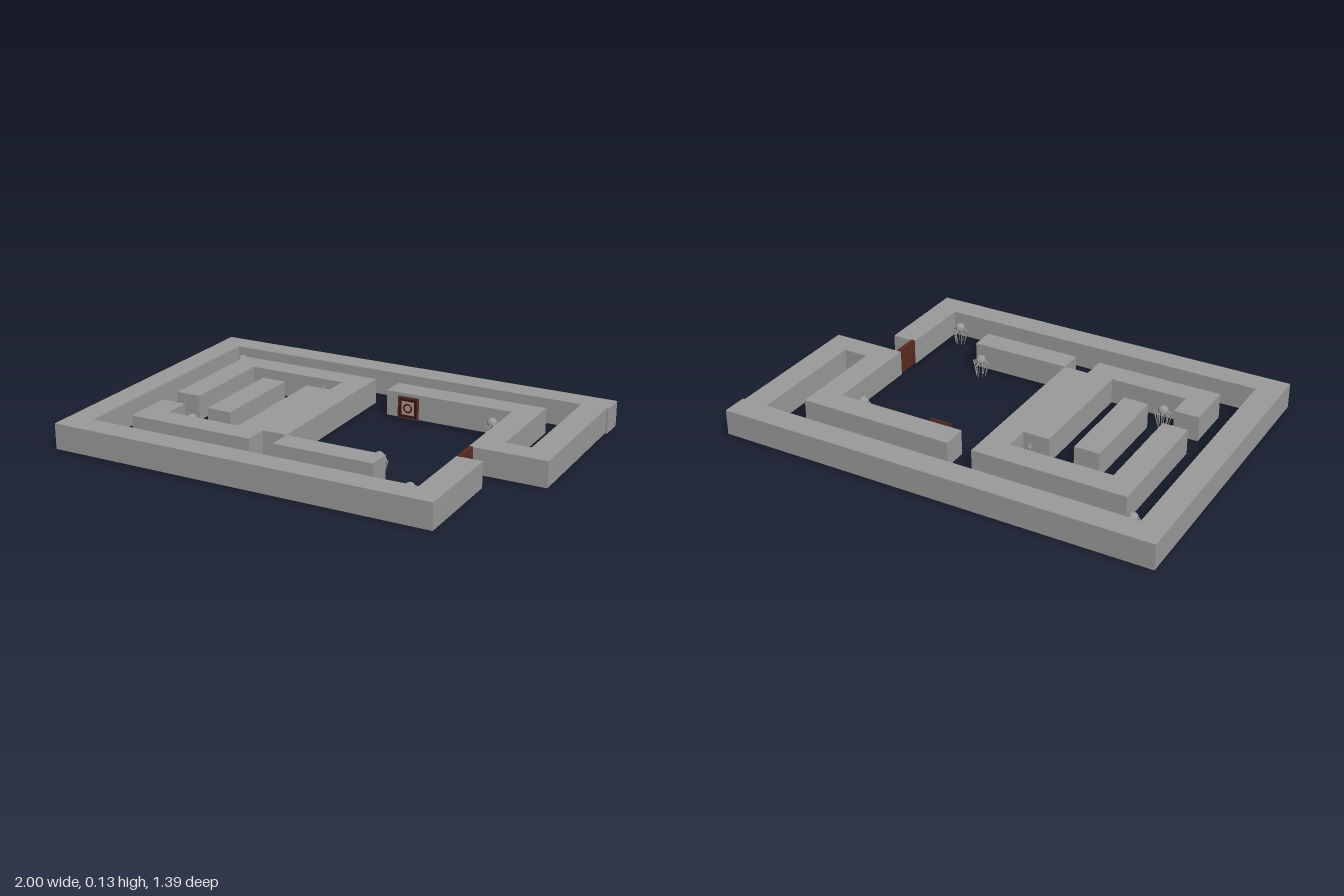
import * as THREE from 'three';

const mat = (name, color, side = THREE.FrontSide) => {
  const m = new THREE.MeshStandardMaterial({ color, side });
  m.name = name;
  return m;
};

export function createModel() {
  const root = new THREE.Group();
  root.name = 'maze';
  const stone = mat('stone grey', 0x999999);
  const wood = mat('dark red wood', 0x5a2a20);
  const canvas = mat('dusty pink canvas', 0xb98d80);
  const dark = mat('near black', 0x2a1814);

  const add = (parent, name, geo, material, x = 0, y = 0, z = 0) => {
    const m = new THREE.Mesh(geo, material);
    m.name = name;
    m.position.set(x, y, z);
    parent.add(m);
    return m;
  };

  // Walls: floor-plan outlines (x, z) extruded to wall height
  const bottom = 0.006, top = 0.122;
  const wall = (name, points) => {
    const shape = new THREE.Shape(points.map(([x, z]) => new THREE.Vector2(x, z)));
    const geo = new THREE.ExtrudeGeometry(shape, { depth: top - bottom, bevelEnabled: false });
    geo.rotateX(Math.PI / 2);
    add(root, name, geo, stone, 0, top, 0);
  };
  wall('outerWall', [
    [-1, -0.7], [1, -0.7], [1, -0.585], [0.99, -0.585], [0.99, 0.11], [0.645, 0.11],
    [0.645, -0.35], [0.045, -0.35], [0.045, -0.465], [0.76, -0.465], [0.76, 0], [0.875, 0],
    [0.875, -0.585], [-0.885, -0.585], [-0.885, 0.58], [0.645, 0.58], [0.645, 0.23],
    [0.76, 0.23], [0.76, 0.695], [-1, 0.695]]);
  wall('innerWall', [
    [-0.77, -0.465], [-0.07, -0.465], [-0.07, 0.35], [-0.185, 0.35], [-0.185, 0.46],
    [-0.77, 0.46], [-0.77, 0.23], [-0.655, 0.23], [-0.655, 0.35], [-0.305, 0.35],
    [-0.305, -0.235], [-0.185, -0.235], [-0.185, -0.35], [-0.655, -0.35],
    [-0.655, 0.115], [-0.77, 0.115]]);
  wall('islandWall', [[-0.535, -0.235], [-0.42, -0.235], [-0.42, 0.23], [-0.535, 0.23]]);
  wall('southWall', [[-0.07, 0.35], [0.39, 0.35], [0.39, 0.46], [-0.07, 0.46]]);

  // Door in the side gap, with a knob on the inside
  add(root, 'door', new THREE.BoxGeometry(0.018, 0.117, 0.118), wood, 0.657, 0.067, 0.172);
  add(root, 'doorKnob', new THREE.SphereGeometry(0.005, 10, 8), dark, 0.645, 0.062, 0.217);

  // Framed picture with a dark ring
  const picture = new THREE.Group();
  picture.name = 'picture';
  picture.position.set(0.165, 0.066, -0.32);
  root.add(picture);
  add(picture, 'pictureFrame', new THREE.BoxGeometry(0.1, 0.102, 0.008), wood);
  add(picture, 'pictureBorder', new THREE.BoxGeometry(0.084, 0.086, 0.002), dark, 0, 0, 0.0042);
  add(picture, 'pictureCanvas', new THREE.BoxGeometry(0.062, 0.064, 0.002), canvas, 0, 0, 0.005);
  add(picture, 'pictureRing', new THREE.RingGeometry(0.015, 0.022, 24), dark, 0, 0, 0.0064);

  // Long-legged spiders: round body, knees out, feet tucked in
  const bodyGeo = new THREE.SphereGeometry(0.023, 16, 10);
  const limb = (parent, name, a, b, ra, rb) => {
    const d = new THREE.Vector3().subVectors(b, a);
    const m = add(parent, name, new THREE.CylinderGeometry(rb, ra, d.length(), 6), stone);
    m.position.copy(a).add(b).multiplyScalar(0.5);
    m.quaternion.setFromUnitVectors(new THREE.Vector3(0, 1, 0), d.normalize());
  };
  const spots = [[-0.825, -0.525, 0], [0.58, -0.29, 0], [0.33, 0.29, 0], [-0.585, 0.28, 0.25], [0.58, 0.52, 0]];
  for (const [x, z, turn] of spots) {
    const spider = new THREE.Group();
    spider.name = 'spider';
    spider.position.set(x, 0, z);
    spider.rotation.y = turn;
    root.add(spider);
    add(spider, 'spiderBody', bodyGeo, stone, 0, 0.08, 0);
    for (let i = 0; i < 8; i++) {
      const a = (i * Math.PI) / 4;
      const at = (r, y) => new THREE.Vector3(r * Math.cos(a), y, r * Math.sin(a));
      const knee = at(i % 2 ? 0.03 : 0.039, 0.068);
      limb(spider, 'upperLeg', at(0.014, 0.075), knee, 0.005, 0.003);
      limb(spider, 'lowerLeg', knee, at(0.021, 0), 0.0035, 0.0015);
    }
  }

  // Small key hanging in the inner passage
  const key = new THREE.Group();
  key.name = 'key';
  key.position.set(-0.245, 0.085, -0.29);
  root.add(key);
  const bow = add(key, 'keyBow', new THREE.TorusGeometry(0.011, 0.004, 8, 16), stone, 0, 0.014, 0);
  bow.rotation.y = Math.PI / 2;
  add(key, 'keyShaft', new THREE.CylinderGeometry(0.004, 0.004, 0.04, 8), stone, 0, -0.015, 0);
  add(key, 'keyBit', new THREE.BoxGeometry(0.006, 0.012, 0.016), stone, 0, -0.027, 0.01);

  return root;
}
